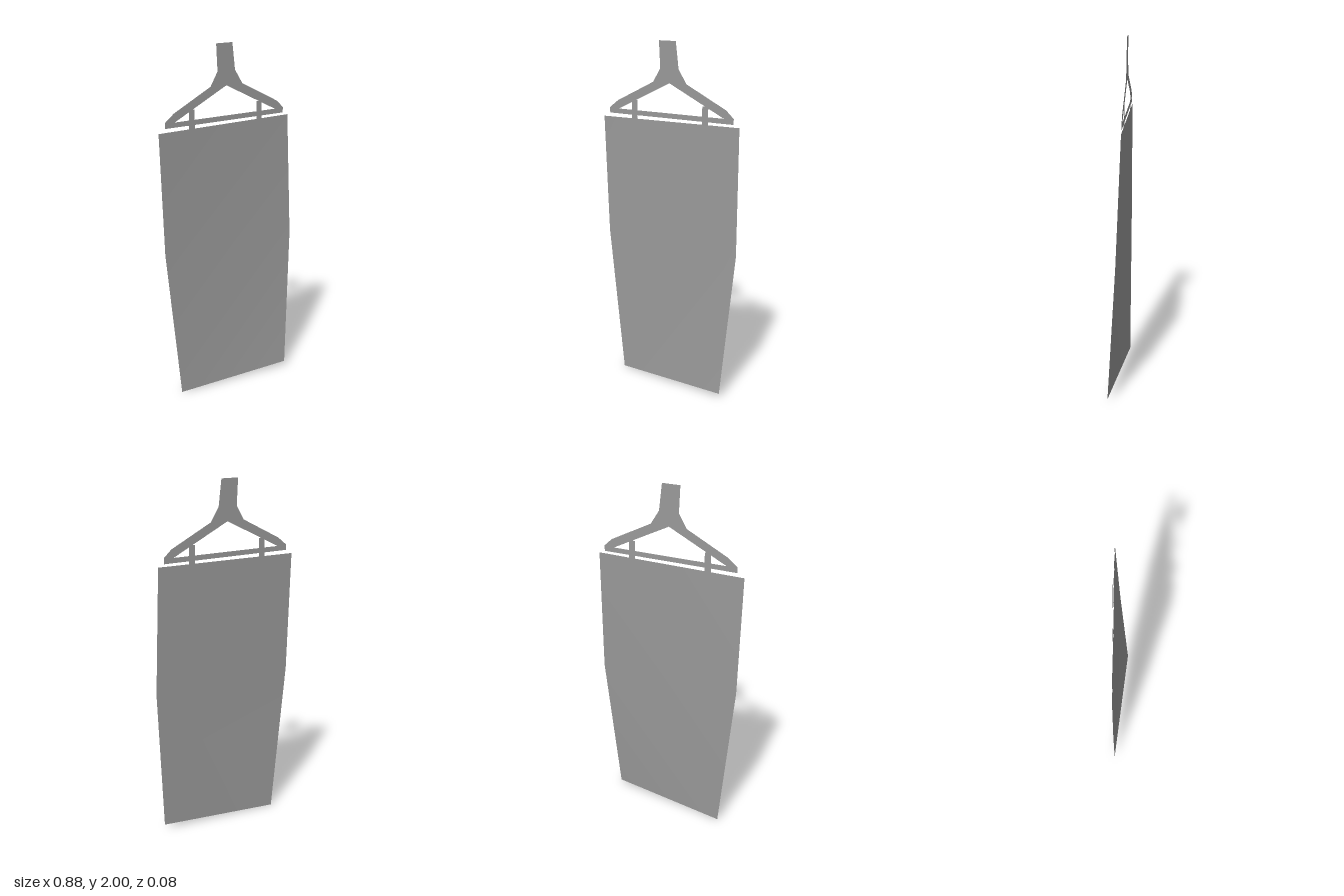
import * as THREE from 'three';

const BACK = -0.04;
const material = new THREE.MeshStandardMaterial({ color: 0x9a9a9a, side: THREE.DoubleSide });
const toPoints = (list) => list.map(([x, y]) => new THREE.Vector2(x, y));

function addMesh(parent, name, geometry, x, y, z) {
  const mesh = new THREE.Mesh(geometry, material);
  mesh.name = name;
  mesh.position.set(x, y, z);
  parent.add(mesh);
}

// Cloth panel: three rows of left and right edge points, slightly twisted forward
function clothGeometry() {
  const corners = [
    [-0.442, 1.554, BACK], [0.431, 1.562, BACK],
    [-0.418, 0.87, BACK], [0.442, 0.85, -0.011],
    [-0.325, 0, BACK], [0.378, 0.027, 0.04],
  ];
  const geometry = new THREE.PlaneGeometry(1, 1, 1, 2);
  corners.forEach((p, i) => geometry.attributes.position.setXYZ(i, ...p));
  geometry.computeVertexNormals();
  return geometry;
}

export function createModel() {
  const group = new THREE.Group();
  group.name = 'clothOnHanger';

  addMesh(group, 'cloth', clothGeometry(), 0, 0, 0);

  // Flat hanger: neck, sloping arms and bottom bar around a triangular opening
  const hanger = new THREE.Shape(toPoints([
    [-0.07, 2], [-0.062, 1.85], [-0.108, 1.772], [-0.345, 1.652],
    [-0.401, 1.608], [-0.401, 1.576], [0.396, 1.576], [0.396, 1.608],
    [0.35, 1.65], [0.105, 1.772], [0.055, 1.85], [0.037, 2],
  ]));
  hanger.holes.push(new THREE.Path(toPoints([[-0.003, 1.77], [0.337, 1.604], [-0.34, 1.604]])));
  addMesh(group, 'hanger', new THREE.ShapeGeometry(hanger), 0, 0, BACK);

  // Clips joining the hanger to the cloth
  for (const [name, x] of [['rightClip', -0.232], ['leftClip', 0.223]]) {
    addMesh(group, name, new THREE.PlaneGeometry(0.037, 0.106), x, 1.608, BACK + 0.0005);
  }
  return group;
}
